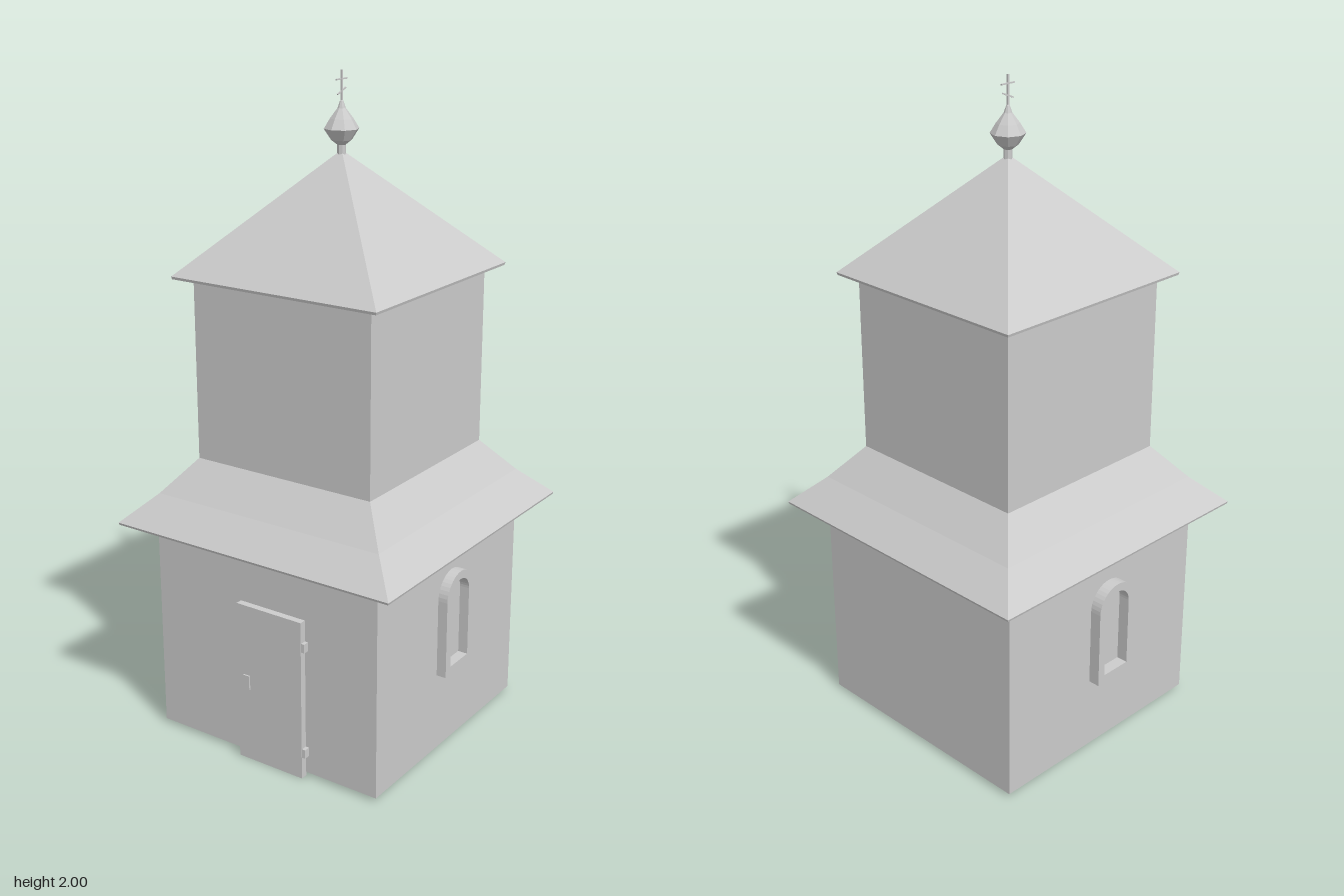
import * as THREE from 'three';

const material = new THREE.MeshStandardMaterial({ color: 0xcccccc, flatShading: true, side: THREE.DoubleSide });

function add(parent, name, geometry, x = 0, y = 0, z = 0) {
  const mesh = new THREE.Mesh(geometry, material);
  mesh.name = name;
  mesh.position.set(x, y, z);
  parent.add(mesh);
  return mesh;
}

const points = (list) => list.map(([r, y]) => new THREE.Vector2(r, y));

// Square tower section from [half width, height] pairs, bottom to top
function square(profile) {
  const pts = points(profile.map(([h, y]) => [h * Math.SQRT2, y]));
  return new THREE.LatheGeometry(pts, 4, Math.PI / 4);
}

// Round-headed outline standing on y = 0
function arch(target, halfWidth, bottom, spring) {
  target.moveTo(-halfWidth, bottom);
  target.lineTo(halfWidth, bottom);
  target.lineTo(halfWidth, spring);
  target.absarc(0, spring, halfWidth, 0, Math.PI, false);
  target.lineTo(-halfWidth, bottom);
  return target;
}

function windowFrame(depth) {
  const shape = arch(new THREE.Shape(), 0.076, 0, 0.244);
  shape.holes.push(arch(new THREE.Path(), 0.05, 0.026, 0.244));
  return new THREE.ExtrudeGeometry(shape, { depth, bevelEnabled: false, curveSegments: 10 });
}

export function createModel() {
  const model = new THREE.Group();
  model.name = 'tower';

  // Walls
  add(model, 'lowerWalls', new THREE.BoxGeometry(0.786, 0.662, 0.786), -0.002, 0.343, 0.003);
  add(model, 'upperWalls', new THREE.BoxGeometry(0.608, 0.56, 0.608), 0, 1.15, 0);

  // Flared skirt roof and pyramid roof
  add(model, 'lowerRoof', square([[0, 0.67], [0.39, 0.67], [0.477, 0.68], [0.479, 0.687], [0.39, 0.773], [0.304, 0.877], [0, 0.877]]));
  add(model, 'upperRoof', square([[0, 1.42], [0.304, 1.42], [0.347, 1.424], [0.349, 1.432], [0, 1.778]]));

  // Door with handle and hinges
  const door = new THREE.Group();
  door.name = 'door';
  model.add(door);
  add(door, 'doorLeaf', new THREE.BoxGeometry(0.23, 0.507, 0.024), 0.03, 0.2535, 0.405);
  add(door, 'doorHandle', new THREE.BoxGeometry(0.022, 0.046, 0.006), -0.052, 0.258, 0.419);
  for (const y of [0.083, 0.427]) {
    add(door, 'hinge', new THREE.BoxGeometry(0.014, 0.028, 0.02), 0.149, y, 0.405);
  }

  // Arched window frames on the two side walls
  const left = add(model, 'leftWindowFrame', windowFrame(0.032), 0.39, 0.26, -0.007);
  left.rotation.y = Math.PI / 2;
  const right = add(model, 'rightWindowFrame', windowFrame(0.036), -0.413, 0.26, 0.007);
  right.rotation.y = -Math.PI / 2;

  // Onion finial
  add(model, 'finial', new THREE.LatheGeometry(points([
    [0, 1.76], [0.013, 1.76], [0.013, 1.793], [0.03, 1.806], [0.051, 1.838],
    [0.034, 1.866], [0.012, 1.895], [0.005, 1.915], [0, 1.918],
  ]), 8));

  // Cross with a slanted lower bar
  const cross = new THREE.Group();
  cross.name = 'cross';
  model.add(cross);
  add(cross, 'crossPost', new THREE.BoxGeometry(0.005, 0.1, 0.005), 0, 1.95, 0);
  add(cross, 'crossBar', new THREE.BoxGeometry(0.004, 0.004, 0.052), 0, 1.975, 0);
  const slant = add(cross, 'slantedBar', new THREE.BoxGeometry(0.004, 0.004, 0.044), 0, 1.942, 0);
  slant.rotation.x = 0.38;

  return model;
}
